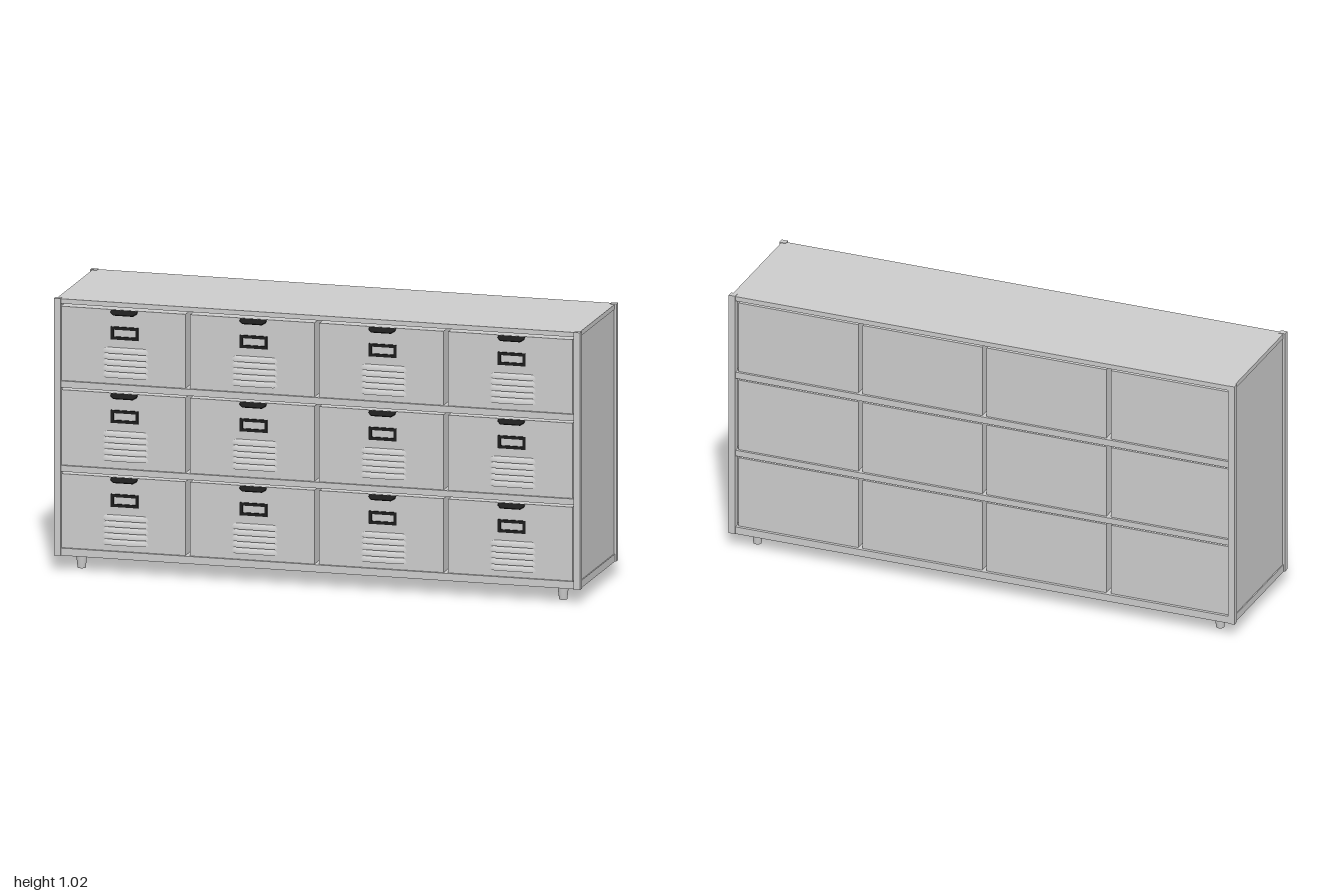
import * as THREE from 'three';

const grey = new THREE.MeshStandardMaterial({ color: 0xcccccc });
const dark = new THREE.MeshStandardMaterial({ color: 0x1c1c1c });

function add(parent, name, geometry, x = 0, y = 0, z = 0, material = grey) {
  const mesh = new THREE.Mesh(geometry, material);
  mesh.name = name;
  mesh.position.set(x, y, z);
  parent.add(mesh);
  return mesh;
}

// Box given by its minimum and maximum corners
function block(parent, name, [x0, y0, z0], [x1, y1, z1]) {
  const geometry = new THREE.BoxGeometry(x1 - x0, y1 - y0, z1 - z0);
  return add(parent, name, geometry, (x0 + x1) / 2, (y0 + y1) / 2, (z0 + z1) / 2);
}

// Pressed vent: a hood that bulges out at its lower lip and fades into the face
function louverGeometry(w, h, d) {
  const g = new THREE.BoxGeometry(w, h, d, 12, 5, 1);
  const p = g.attributes.position;
  for (let i = 0; i < p.count; i++) {
    const t = p.getY(i) / h + 0.5;
    const s = (2 * p.getX(i)) / w;
    const front = p.getZ(i) > 0;
    p.setX(i, p.getX(i) * (1 - 0.14 * t * t));
    p.setZ(i, front ? d * Math.sqrt(Math.max(0, 1 - t * t)) * (1 - s ** 8) : -0.002);
  }
  g.computeVertexNormals();
  return g;
}

// Rectangular label holder with an open window
function labelFrameGeometry(w, h, border, depth) {
  const rect = (P, a, b) => new P([
    new THREE.Vector2(-a, -b), new THREE.Vector2(a, -b),
    new THREE.Vector2(a, b), new THREE.Vector2(-a, b)]);
  const shape = rect(THREE.Shape, w / 2, h / 2);
  shape.holes.push(rect(THREE.Path, w / 2 - border, h / 2 - border));
  return new THREE.ExtrudeGeometry(shape, { depth, bevelEnabled: false });
}

// Tapered finger tab, sloping forward and down from its rear edge
function pullGeometry() {
  const shape = new THREE.Shape([
    new THREE.Vector2(-0.05, 0), new THREE.Vector2(-0.05, -0.012),
    new THREE.Vector2(-0.037, -0.026), new THREE.Vector2(0.037, -0.026),
    new THREE.Vector2(0.05, -0.012), new THREE.Vector2(0.05, 0)]);
  const g = new THREE.ExtrudeGeometry(shape, { depth: 0.004, bevelEnabled: false });
  return g.rotateX(-Math.PI / 2 + 0.55);
}

export function createModel() {
  const model = new THREE.Group();
  model.name = 'drawerCabinet';

  // Outer case
  block(model, 'topPanel', [-0.993, 1.0, -0.25], [0.993, 1.018, 0.242]);
  block(model, 'bottomPanel', [-0.995, 0.055, -0.25], [0.995, 0.083, 0.242]);
  for (const [y0, y1] of [[0.37, 0.393], [0.685, 0.71]])
    block(model, 'shelf', [-0.98, y0, -0.248], [0.98, y1, 0.242]);

  for (const side of [-1, 1]) {
    const panel = new THREE.BoxGeometry(0.012, 0.917, 0.47);
    add(model, 'sidePanel', panel, side * 0.985, 0.5415, -0.002);
    for (const [z0, z1] of [[-0.253, -0.229], [0.228, 0.251]]) {
      const post = new THREE.BoxGeometry(0.025, 0.965, z1 - z0);
      add(model, 'cornerPost', post, side * 0.9875, 0.5375, (z0 + z1) / 2);
    }
    for (const z of [-0.183, 0.178])
      add(model, 'foot', new THREE.CylinderGeometry(0.021, 0.015, 0.056, 24), side * 0.915, 0.028, z);
  }

  // Drawers: three rows of four, with gaps around each
  const louver = louverGeometry(0.175, 0.021, 0.011);
  const frame = labelFrameGeometry(0.105, 0.048, 0.011, 0.006);
  const pull = pullGeometry();
  const face = 0.233;
  for (const [y0, y1] of [[0.083, 0.36], [0.393, 0.675], [0.71, 0.988]]) {
    for (let col = 0; col < 4; col++) {
      const drawer = new THREE.Group();
      drawer.name = 'drawer';
      drawer.position.set(-0.7415 + col * 0.4905, y1, 0);
      block(drawer, 'drawerBox', [-0.2365, y0 - y1, -0.238], [0.2365, 0, face]);
      add(drawer, 'fingerPull', pull, 0.005, -0.004, face - 0.001, dark);
      add(drawer, 'labelFrame', frame, 0.006, -0.087, face - 0.001, dark);
      for (let i = 0; i < 5; i++)
        add(drawer, 'louver', louver, 0.009, -0.152 - i * 0.0228, face);
      model.add(drawer);
    }
  }
  return model;
}
